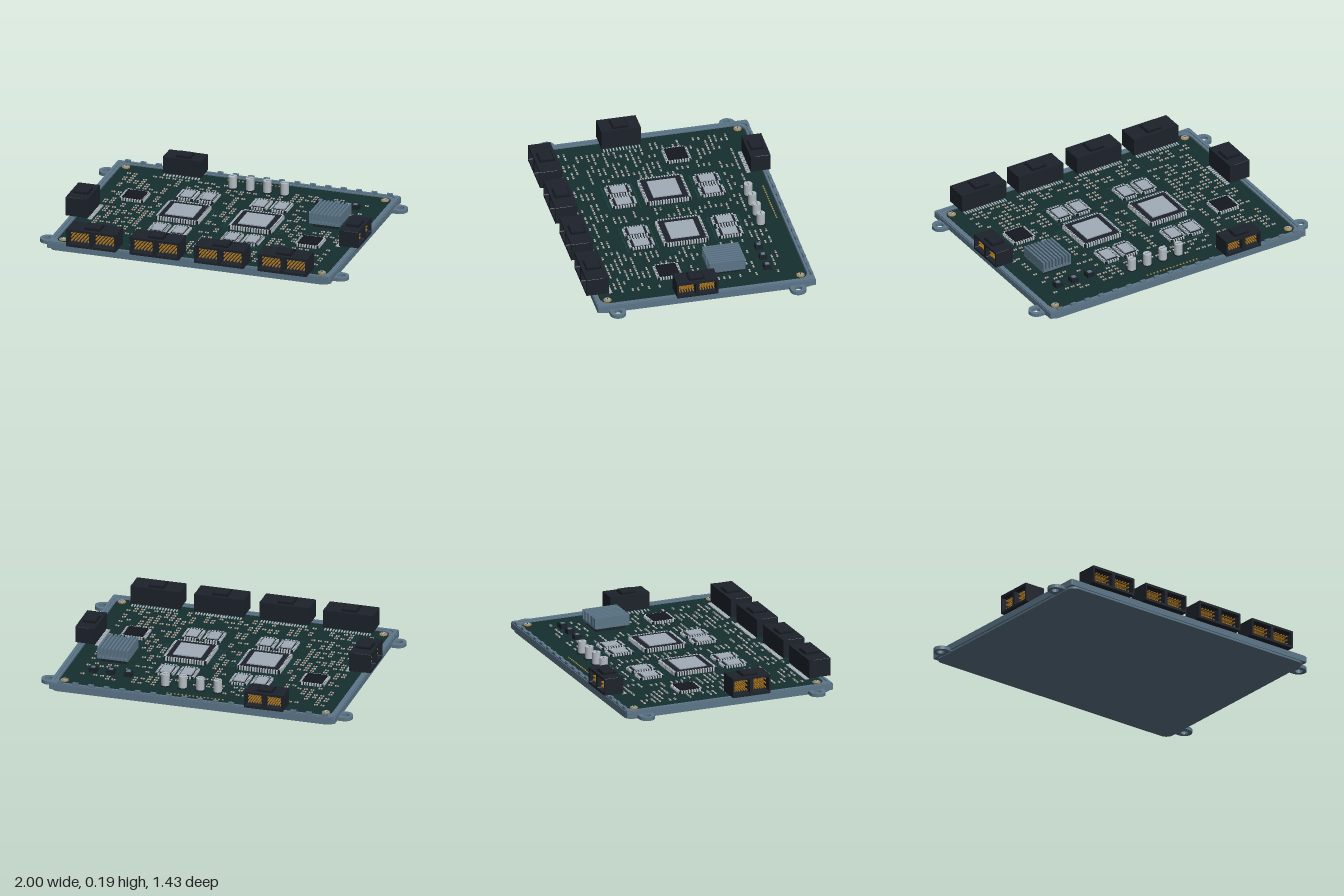
import * as THREE from 'three';
import { mergeGeometries } from 'three/addons/utils/BufferGeometryUtils.js';

const mat = (color, extra = {}) => new THREE.MeshStandardMaterial({ color, ...extra });
const M = {
  slate: mat(0x5c7688), board: mat(0x14302f), black: mat(0x1c222b), dark: mat(0x14181e),
  lid: mat(0xa0acb8), silver: mat(0xb4bcc2), gold: mat(0xb08a48), pin: mat(0xa87420),
  copper: mat(0x8a5a3a), trace: mat(0x1f4a4a),
};
const BOARD_Y = 0.045;

// Box given by its centre in x and z and its bottom and top in y
const box = (x, z, w, d, y0, y1) =>
  new THREE.BoxGeometry(w, y1 - y0, d).translate(x, (y0 + y1) / 2, z);
const cyl = (x, z, r, y0, y1, n = 24) =>
  new THREE.CylinderGeometry(r, r, y1 - y0, n).translate(x, (y0 + y1) / 2, z);

function add(parent, name, geos, material) {
  const list = [].concat(geos).map(g => (g.index ? g.toNonIndexed() : g));
  const mesh = new THREE.Mesh(list.length > 1 ? mergeGeometries(list) : list[0], material);
  mesh.name = name;
  parent.add(mesh);
  return mesh;
}

function named(parent, name) {
  const g = new THREE.Group();
  g.name = name;
  parent.add(g);
  return g;
}

// Traces a rounded rectangle into a Shape or Path
function roundRect(target, w, h, r, cx = 0, cy = 0) {
  const a = w / 2 - r, b = h / 2 - r;
  target.moveTo(cx + a + r, cy - b);
  target.absarc(cx + a, cy + b, r, 0, Math.PI / 2);
  target.absarc(cx - a, cy + b, r, Math.PI / 2, Math.PI);
  target.absarc(cx - a, cy - b, r, Math.PI, Math.PI * 1.5);
  target.absarc(cx + a, cy - b, r, Math.PI * 1.5, Math.PI * 2);
  return target;
}

// Flat plate from a shape, lying between y0 and y1
const plate = (shape, y0, y1) =>
  new THREE.ExtrudeGeometry(shape, { depth: y1 - y0, bevelEnabled: false, curveSegments: 8 })
    .rotateX(-Math.PI / 2).translate(0, y0, 0);

function tray(parent) {
  const g = named(parent, 'tray');
  add(g, 'floorPlate', plate(roundRect(new THREE.Shape(), 1.82, 1.37, 0.05), 0, 0.013), M.slate);
  const rim = roundRect(new THREE.Shape(), 1.84, 1.38, 0.008);
  rim.holes.push(roundRect(new THREE.Path(), 1.76, 1.31, 0.06));
  add(g, 'rim', plate(rim, 0.013, 0.05), M.slate);
  const lip = roundRect(new THREE.Shape(), 1.83, 1.37, 0.008);
  lip.holes.push(roundRect(new THREE.Path(), 1.79, 1.335, 0.04));
  add(g, 'rimLip', plate(lip, 0.05, 0.056), M.slate);
  // Mounting ears with a screw hole
  for (const sx of [-1, 1]) for (const z of [-0.57, 0.57]) {
    const ear = new THREE.Shape();
    ear.absarc(0.95, 0, 0.05, -Math.PI / 2, Math.PI / 2);
    ear.lineTo(0.9, 0.05);
    ear.lineTo(0.9, -0.05);
    ear.holes.push(new THREE.Path().absarc(0.953, 0, 0.024, 0, Math.PI * 2));
    const geo = plate(ear, 0.006, 0.028);
    if (sx < 0) geo.rotateY(Math.PI);
    add(g, 'mountingEar', geo.translate(0, 0, z), M.slate);
  }
  // Small clips along the rear wall
  const clips = [];
  for (let i = 0; i < 18; i++) {
    const x = -0.85 + i * 0.1;
    if (x < -0.62 || x > -0.31) clips.push(box(x, -0.677, 0.035, 0.016, 0.05, 0.068));
  }
  add(g, 'rearClips', clips, M.slate);
}

// Socket housing opening towards +z, turned by angle about its centre
function connector(parent, name, x, z, w, d, top, angle, pins) {
  const g = named(parent, name);
  g.position.set(x, 0.055, z);
  g.rotation.y = angle;
  const h = top - 0.055, cw = w / 2 - 0.022, ch = h - 0.03, depth = d - 0.03;
  const shell = roundRect(new THREE.Shape(), w, h, 0.003, 0, h / 2);
  for (const s of [-1, 1])
    shell.holes.push(roundRect(new THREE.Path(), cw, ch, 0.006, s * w / 4, h / 2));
  add(g, 'housing', new THREE.ExtrudeGeometry(shell, { depth, bevelEnabled: false, curveSegments: 3 })
    .translate(0, 0, d / 2 - depth), M.black);
  add(g, 'backWall', box(0, -d / 2 + 0.0155, w, 0.031, 0, h), M.black);
  add(g, 'latchBase', box(0, -0.002, 0.1, d * 0.68, h, h + 0.008), M.dark);
  add(g, 'latch', box(0, -0.002, 0.086, d * 0.58, h + 0.008, h + 0.014), M.black);
  // Contact pins inside the two bays
  const contacts = [], leads = [];
  for (const s of [-1, 1]) for (let i = 0; i < 6; i++) for (let j = 0; j < 3; j++) {
    const px = s * w / 4 + (i - 2.5) * cw / 6.5, py = h / 2 + (j - 1) * ch / 3.4;
    contacts.push(box(px, d / 2 - depth * 0.62, 0.007, depth * 0.8, py - 0.004, py + 0.004));
  }
  add(g, 'contacts', contacts, M.pin);
  // Leads soldered to the board behind the housing
  for (let i = 0; i < pins; i++) {
    const px = (i - (pins - 1) / 2) * (w * 0.9 / (pins - 1));
    leads.push(box(px, -d / 2 - 0.012, 0.007, 0.026, -0.01, -0.003));
  }
  add(g, 'leads', leads, M.silver);
}

// Rows of pads just inside the four edges of a package
function edgePads(x, z, w, d, y, step, s) {
  const out = [];
  const nx = Math.floor(w / step), nz = Math.floor(d / step);
  for (const k of [-1, 1]) {
    for (let i = 0; i < nx; i++)
      out.push(box(x + (i - (nx - 1) / 2) * step, z + k * d / 2, s, s * 1.5, BOARD_Y, y));
    for (let i = 0; i < nz; i++)
      out.push(box(x + k * w / 2, z + (i - (nz - 1) / 2) * step, s * 1.5, s, BOARD_Y, y));
  }
  return out;
}

function chip(parent, name, x, z, w, d, top, lidW, lidD) {
  const g = named(parent, name);
  add(g, 'substrate', box(x, z, w - 0.02, d - 0.02, BOARD_Y, top - 0.007), M.black);
  add(g, 'pads', edgePads(x, z, w - 0.026, d - 0.026, top - 0.005, 0.017, 0.01), M.silver);
  if (lidW) add(g, 'lid', box(x, z, lidW, lidD, top - 0.007, top), M.lid);
  else add(g, 'package', box(x, z, w - 0.045, d - 0.045, top - 0.007, top), M.dark);
}

export function createModel() {
  const model = new THREE.Group();
  model.name = 'controlUnit';
  tray(model);
  add(model, 'circuitBoard', plate(roundRect(new THREE.Shape(), 1.75, 1.3, 0.06), 0.014, BOARD_Y), M.board);

  // Connectors around the edge
  for (const x of [-0.62, -0.21, 0.21, 0.62])
    connector(model, 'frontConnector', x, 0.658, 0.32, 0.14, 0.17, 0, 17);
  connector(model, 'rearConnector', -0.465, -0.638, 0.25, 0.125, 0.163, Math.PI, 12);
  connector(model, 'rightConnector', -0.87, 0.135, 0.25, 0.14, 0.178, -Math.PI / 2, 12);
  connector(model, 'leftConnector', 0.873, 0.062, 0.26, 0.125, 0.16, Math.PI / 2, 12);

  // Processors with their memory chips; keepOut lists x, z, width, depth
  const keepOut = [[-0.62, 0.66, 0.36, 0.2], [0.62, 0.66, 0.36, 0.2], [-0.87, 0.135, 0.2, 0.32],
    [0.873, 0.062, 0.2, 0.32], [0.6, -0.43, 0.34, 0.1], [0.06, -0.505, 0.42, 0.1], [0.63, -0.175, 0.24, 0.27]];
  const traces = [];
  for (const cx of [-0.265, 0.208]) {
    chip(model, 'processor', cx, -0.01, 0.29, 0.295, 0.075, 0.18, 0.18);
    keepOut.push([cx, 0, 0.34, 0.8]);
    for (const cz of [-0.295, 0.265]) {
      for (const s of [-1, 1])
        chip(model, 'memoryChip', cx + s * 0.067, cz, 0.125, 0.17, 0.064, 0.07, 0.096);
      for (const s of [-1, 1])
        traces.push(box(cx, cz + s * 0.095, 0.28, 0.004, BOARD_Y, BOARD_Y + 0.0015));
      traces.push(box(cx, cz, 0.003, 0.17, BOARD_Y, BOARD_Y + 0.0015));
    }
    for (const s of [-1, 1]) for (let i = 0; i < 10; i++)
      traces.push(box(cx + s * 0.175, -0.12 + i * 0.024, 0.05, 0.003, BOARD_Y, BOARD_Y + 0.0015));
  }
  add(model, 'traces', traces, M.trace);
  for (const [x, z] of [[-0.637, -0.175], [0.62, 0.178]]) {
    chip(model, 'controllerChip', x, z, 0.17, 0.17, 0.066);
    keepOut.push([x, z, 0.21, 0.21]);
  }

  // Finned heat sink
  const sink = named(model, 'heatSink');
  add(sink, 'chipBelow', box(0.63, -0.175, 0.16, 0.19, BOARD_Y, 0.07), M.black);
  const fins = [box(0.63, -0.175, 0.2, 0.23, 0.07, 0.083)];
  for (let i = 0; i < 9; i++) fins.push(box(0.537 + i * 0.0233, -0.175, 0.012, 0.23, 0.083, 0.14));
  add(sink, 'fins', fins, M.slate);

  // Capacitors, inductors and the header row
  for (const x of [-0.113, 0, 0.112, 0.224]) {
    const g = named(model, 'capacitor');
    add(g, 'can', cyl(x, -0.505, 0.026, BOARD_Y + 0.006, 0.126), M.silver);
    add(g, 'foot', box(x, -0.505, 0.054, 0.054, BOARD_Y, BOARD_Y + 0.006), M.black);
    add(g, 'vent', box(x, -0.505, 0.04, 0.004, 0.126, 0.1268), M.slate);
  }
  for (const x of [0.483, 0.597, 0.71]) {
    const g = named(model, 'inductor');
    add(g, 'body', box(x, -0.43, 0.05, 0.046, BOARD_Y, 0.075), M.black);
    add(g, 'cap', box(x, -0.43, 0.026, 0.026, 0.075, 0.077), M.slate);
  }
  const header = [];
  for (let i = 0; i < 16; i++) header.push(box(-0.178 + i * 0.0237, -0.615, 0.009, 0.009, BOARD_Y, 0.05));
  add(model, 'headerPins', header, M.gold);

  // Corner screws
  for (const x of [-0.84, 0.84]) for (const z of [-0.61, 0.61]) {
    const g = named(model, 'cornerScrew');
    add(g, 'washer', cyl(x, z, 0.025, BOARD_Y, 0.05), M.gold);
    add(g, 'head', cyl(x, z, 0.015, 0.05, 0.056, 16), M.lid);
    add(g, 'slot', box(x, z, 0.02, 0.004, 0.056, 0.0565), M.dark);
  }

  // Small surface parts scattered on a grid, each with two end caps
  let seed = 7;
  const rnd = () => (seed = (seed * 16807) % 2147483647) / 2147483647;
  const caps = [], bodies = [];
  for (let x = -0.79; x < 0.8; x += 0.042) for (let z = -0.52; z < 0.57; z += 0.034) {
    if (rnd() > 0.55) continue;
    if (keepOut.some(([a, b, w, d]) => Math.abs(x - a) < w / 2 && Math.abs(z - b) < d / 2)) continue;
    for (const s of [-1, 1]) caps.push(box(x + s * 0.008, z, 0.007, 0.011, BOARD_Y, 0.051));
    bodies.push(box(x, z, 0.009, 0.01, BOARD_Y, 0.0505));
  }
  add(model, 'smallPartEnds', caps, M.silver);
  add(model, 'smallPartBodies', bodies, M.copper);
  return model;
}
